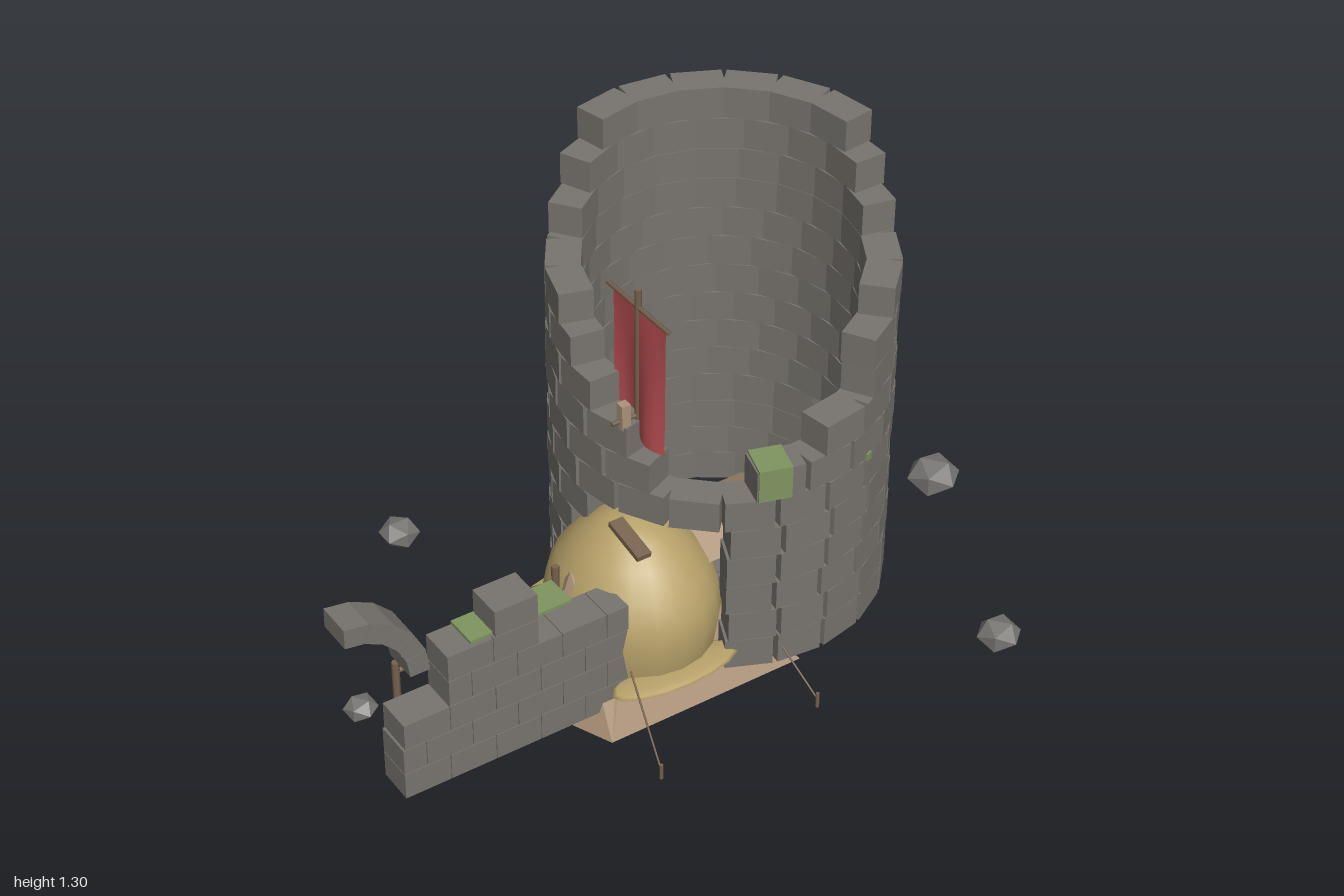
import * as THREE from 'three';

const mat = (name, color, extra = {}) => {
  const m = new THREE.MeshStandardMaterial({ color, ...extra });
  m.name = name;
  return m;
};

export function createModel() {
  const root = new THREE.Group();
  root.name = 'ruinedTowerCamp';
  const D = { side: THREE.DoubleSide };
  const stone = mat('stone', 0x78746e);
  const rock = mat('rock', 0x777572, { flatShading: true });
  const canvas = mat('canvas', 0xb8a26a, D);
  const tan = mat('tanCloth', 0xac9378, { side: THREE.DoubleSide, flatShading: true });
  const red = mat('redCloth', 0xc05256, D);
  const moss = mat('moss', 0x7f9460);
  const wood = mat('wood', 0x78634f);

  const group = (name) => {
    const g = new THREE.Group();
    g.name = name;
    root.add(g);
    return g;
  };
  const add = (parent, name, geo, material, x = 0, y = 0, z = 0) => {
    const m = new THREE.Mesh(geo, material);
    m.name = name;
    m.position.set(x, y, z);
    parent.add(m);
    return m;
  };
  const box = (parent, name, material, x0, x1, y0, y1, z0, z1) =>
    add(parent, name, new THREE.BoxGeometry(x1 - x0, y1 - y0, z1 - z0), material,
      (x0 + x1) / 2, (y0 + y1) / 2, (z0 + z1) / 2);
  const rod = (parent, name, a, b, r, material = wood) => {
    const p = new THREE.Vector3(...a), q = new THREE.Vector3(...b);
    const d = q.clone().sub(p);
    const m = add(parent, name, new THREE.CylinderGeometry(r, r, d.length(), 6), material);
    m.position.copy(p).add(q).multiplyScalar(0.5);
    m.quaternion.setFromUnitVectors(new THREE.Vector3(0, 1, 0), d.normalize());
    return m;
  };
  // faces given as corner loops, split into triangle fans
  const faces = (parent, name, loops, material) => {
    const v = [];
    for (const l of loops)
      for (let i = 1; i < l.length - 1; i++) v.push(...l[0], ...l[i], ...l[i + 1]);
    const g = new THREE.BufferGeometry();
    g.setAttribute('position', new THREE.Float32BufferAttribute(v, 3));
    g.computeVertexNormals();
    return add(parent, name, g, material);
  };
  let seed = 7;
  const rnd = () => (seed = (seed * 16807) % 2147483647) / 2147483647;

  // round tower: each course lists its arcs in degrees, from +x towards +z
  const tower = group('tower');
  tower.position.set(0.255, 0, -0.005);
  const courses = [
    [[-188, -12], [16, 123]], [[-179, -14], [16, 122]], [[-188, -13], [6, 123]],
    [[-179, -12], [16, 123]], [[-188, 122]], [[-200, 160]], [[-213, 114]],
    [[-205, 90]], [[-190, 68]], [[-180, 69]], [[-172, 55]], [[-135, 20]],
    [[-123, 10]], [[-112, 1]],
  ];
  const pitch = 0.0868, deg = Math.PI / 180;
  courses.forEach((arcs, row) => {
    for (const [a0, a1] of arcs) {
      const n = Math.round((a1 - a0) / 18), step = (a1 - a0) / n;
      const geo = new THREE.BoxGeometry(0.088, 0.0855, step * deg * 0.392);
      for (let i = 0; i < n; i++) {
        const a = (a0 + step * (i + 0.5)) * deg;
        const b = add(tower, 'towerBlock', geo, stone,
          Math.cos(a) * 0.388, 0.128 + row * pitch, Math.sin(a) * 0.388);
        b.rotation.y = -a;
      }
    }
  });
  // moss on the tower: one block-sized patch and a small tuft
  for (const [a, y, h, w] of [[107, 0.651, 0.092, 0.085], [68, 0.608, 0.02, 0.02]]) {
    const m = add(tower, 'towerMoss', new THREE.BoxGeometry(0.094, h, w), moss,
      Math.cos(a * deg) * 0.39, y, Math.sin(a * deg) * 0.39);
    m.rotation.y = -a * deg;
  }

  // low ruined wall
  const wall = group('wall');
  [[-0.87, -0.235], [-0.87, -0.235], [-0.865, -0.235], [-0.74, -0.235], [-0.74, -0.49], [-0.61, -0.49]]
    .forEach(([x0, x1], row) => {
      const n = Math.max(1, Math.round((x1 - x0) / 0.125));
      const w = (x1 - x0) / n, y = 0.075 + row * 0.0765;
      const shift = row % 2 && n > 2 ? w / 2 : 0;
      for (let i = 0; i < n + (shift ? 1 : 0); i++) {
        const l = Math.max(x0, x0 + i * w - shift), r = Math.min(x1, x0 + (i + 1) * w - shift);
        box(wall, 'wallBlock', stone, l + 0.001, r - 0.001, y, y + 0.074, 0.222, 0.322);
      }
    });
  box(wall, 'wallMoss', moss, -0.67, -0.535, 0.455, 0.464, 0.22, 0.31);
  box(wall, 'wallMoss', moss, -0.485, -0.39, 0.452, 0.461, 0.22, 0.31);

  // broken quarter arch
  const arch = group('arch');
  const blocks = 5;
  for (let i = 0; i < blocks; i++) {
    const a = i / blocks * Math.PI / 2, b = (i + 0.98) / blocks * Math.PI / 2;
    const s = new THREE.Shape();
    s.moveTo(Math.cos(a) * 0.216, Math.sin(a) * 0.216);
    s.lineTo(Math.cos(b) * 0.216, Math.sin(b) * 0.216);
    s.lineTo(Math.cos(b) * 0.163, Math.sin(b) * 0.163);
    s.lineTo(Math.cos(a) * 0.163, Math.sin(a) * 0.163);
    add(arch, 'archBlock', new THREE.ExtrudeGeometry(s, { depth: 0.095, bevelEnabled: false }),
      stone, -1, 0.442, 0.225);
  }

  // domed tent with two small awnings
  const tent = group('tent');
  const profile = [[0.195, 0.1], [0.208, 0.16], [0.218, 0.24], [0.208, 0.3], [0.184, 0.36],
    [0.14, 0.42], [0.092, 0.465], [0.05, 0.488], [0.001, 0.495]].map(p => new THREE.Vector2(...p));
  add(tent, 'tentDome', new THREE.LatheGeometry(profile, 20), canvas, -0.11, 0, 0.145).scale.z = 1.1;
  for (const z of [0.355, -0.07])
    add(tent, 'tentAwning', new THREE.SphereGeometry(1, 16, 8), canvas, -0.12, 0.14, z).scale.set(0.185, 0.013, 0.065);
  add(tent, 'smokeFlap', new THREE.BoxGeometry(0.04, 0.015, 0.13), wood, -0.175, 0.5, 0.235).rotation.x = 0.2;

  // sloping tent skirt with a pointed end
  const ring = (y, k) => [[-0.42, 0.145], [-0.32, -0.085], [0.25, -0.085], [0.25, 0.375], [-0.32, 0.375]]
    .map(([x, z]) => [-0.08 + (x + 0.08) * k, y, 0.145 + (z - 0.145) * k]);
  const low = ring(0.015, 1), high = ring(0.1, 0.81);
  const skirt = low.map((p, i) => {
    const j = (i + 1) % low.length;
    return [p, high[i], high[j], low[j]];
  });
  faces(tent, 'tentSkirt', [...skirt, [...high].reverse()], tan);
  faces(tent, 'tentFloor', [ring(0.015, 0.92)], canvas);
  const tip = [-0.29, 0.39, 0.145];
  faces(tent, 'tentFlap', [
    [low[0], tip, low[1]], [low[4], tip, low[0]],
    [low[1], tip, [-0.2, 0.09, -0.04]], [low[4], [-0.2, 0.09, 0.33], tip],
  ], tan);

  // gabled porch
  const ridge = [[0.02, 0.435, 0.135], [0.3, 0.435, 0.135]];
  faces(tent, 'porchRoof', [
    [ridge[0], ridge[1], [0.3, 0.37, 0.03], [0.02, 0.37, 0.03]],
    [ridge[1], ridge[0], [0.02, 0.355, 0.27], [0.3, 0.355, 0.27]],
  ], tan);
  for (const z of [0.035, 0.265]) rod(tent, 'porchPost', [0.285, 0.06, z], [0.285, 0.36, z], 0.008);

  // guy ropes and pegs
  for (const [x, xi] of [[-0.28, -0.245], [0.19, 0.145]])
    for (const s of [-1, 1]) {
      const z = 0.145 + s * 0.388;
      rod(tent, 'peg', [x, 0, z], [x, 0.045, z], 0.005);
      rod(tent, 'guyRope', [x, 0.025, z], [xi, 0.19, 0.145 + s * 0.2], 0.0025);
    }

  // banner
  const banner = group('banner');
  rod(banner, 'bannerPole', [-0.095, 0.48, 0.15], [-0.095, 1.15, 0.15], 0.009);
  rod(banner, 'bannerBar', [-0.095, 1.1, 0.02], [-0.095, 1.1, 0.28], 0.006);
  rod(banner, 'bannerBeam', [-0.17, 0.79, 0.15], [-0.02, 0.79, 0.15], 0.006);
  box(banner, 'beamPost', tan, -0.15, -0.125, 0.77, 0.84, 0.14, 0.165);
  const cloth = new THREE.PlaneGeometry(0.22, 0.355, 8, 8);
  const cp = cloth.attributes.position;
  for (let i = 0; i < cp.count; i++) {
    const drop = (0.1775 - cp.getY(i)) / 0.355;
    cp.setZ(i, Math.sin(cp.getX(i) * 28) * 0.02 * drop);
  }
  cloth.rotateY(Math.PI / 2);
  cloth.computeVertexNormals();
  add(banner, 'bannerCloth', cloth, red, -0.098, 0.92, 0.16);

  // fence
  const fence = group('fence');
  rod(fence, 'fencePost', [-0.782, 0.09, 0.14], [-0.782, 0.33, 0.14], 0.01);
  rod(fence, 'fencePost', [-0.33, 0.09, 0.14], [-0.33, 0.42, 0.14], 0.01);
  for (const y of [0.2, 0.3]) rod(fence, 'fenceRail', [-0.785, y, 0.14], [-0.3, y + 0.03, 0.14], 0.007);

  // scattered rocks: x, y, z, radius
  const rocks = group('rocks');
  [[-0.4, 0.11, -0.53, 0.052], [0.55, 0.115, -0.64, 0.092], [0.25, 0.11, -0.485, 0.047],
    [0.55, 0.1, -0.105, 0.043], [-0.82, 0.11, 0.015, 0.042], [-0.5, 0.1, 0.06, 0.055],
    [-0.44, 0.09, 0.08, 0.045], [0.925, 0.115, 0.055, 0.07], [0.66, 0.11, 0.66, 0.056],
    [0.15, 0.09, 0.01, 0.06], [0.26, 0.09, 0.25, 0.07], [-0.37, 0.09, 0.19, 0.045]]
    .forEach(([x, y, z, r]) => {
      const m = add(rocks, 'rock', new THREE.IcosahedronGeometry(r, 0), rock, x, y, z);
      m.scale.set(1.06, 0.78, 1.06);
      m.rotation.y = rnd() * 3;
    });
  for (let i = 0; i < 12; i++) {
    const m = add(rocks, 'rubble', new THREE.BoxGeometry(0.045, 0.045, 0.045), rock,
      0.14 + rnd() * 0.13, 0.055 + rnd() * 0.03, 0.01 + i * 0.023);
    m.rotation.y = rnd();
  }
  return root;
}
